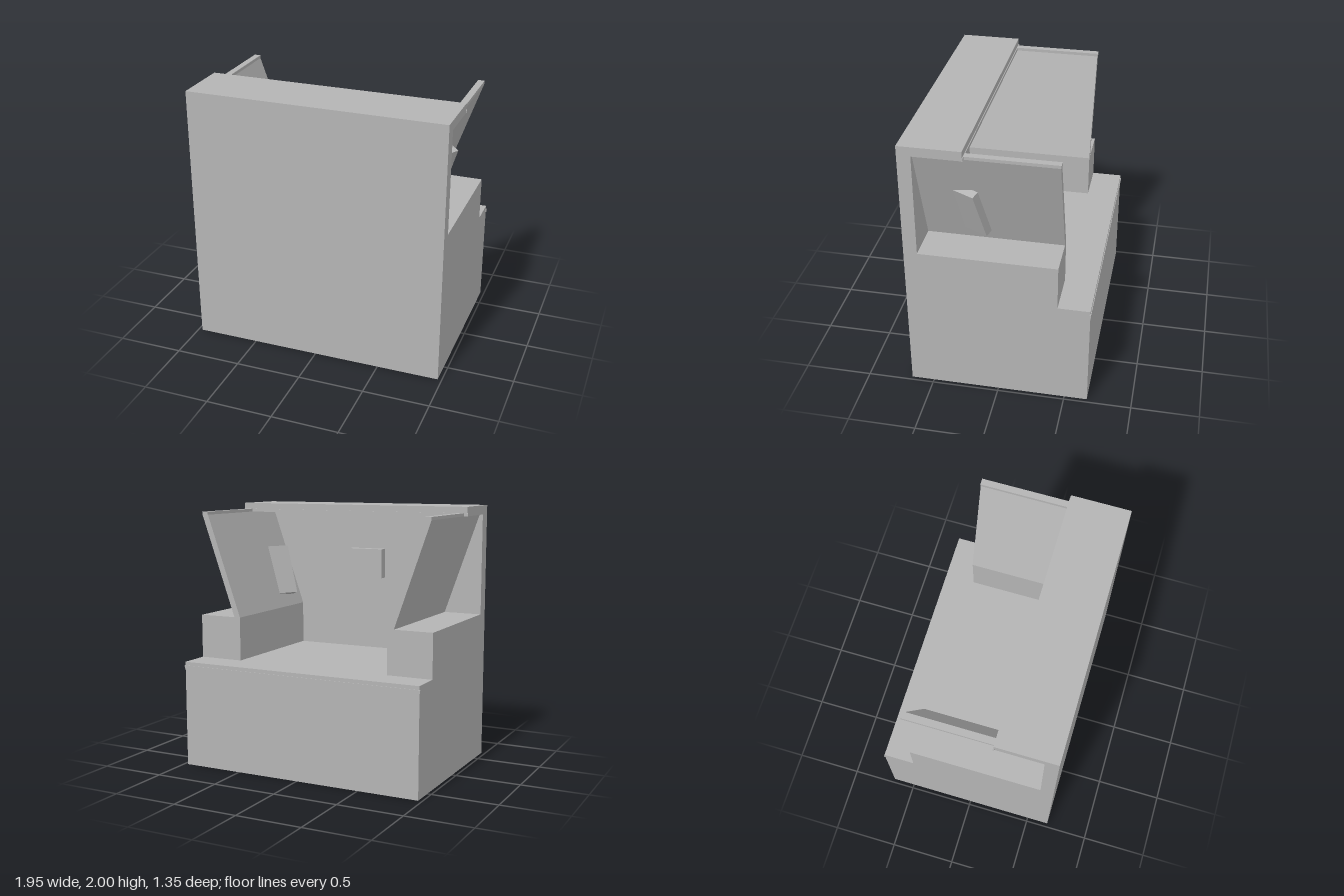
import * as THREE from 'three';

export function createModel() {
  const model = new THREE.Group();
  const grey = new THREE.MeshStandardMaterial({ color: 0xb4b4b4 });
  grey.name = 'plain grey';

  const add = (name, geometry) => {
    const mesh = new THREE.Mesh(geometry, grey);
    mesh.name = name;
    model.add(mesh);
    return mesh;
  };

  // Box given by its lower and upper limits on each axis
  const block = (name, [x0, x1], [y0, y1], [z0, z1]) => {
    const mesh = add(name, new THREE.BoxGeometry(x1 - x0, y1 - y0, z1 - z0));
    mesh.position.set((x0 + x1) / 2, (y0 + y1) / 2, (z0 + z1) / 2);
    return mesh;
  };

  // Main body: base, tall front wall and the canopy above it
  block('base', [-0.97, 0.97], [0, 0.815], [-0.67, 0.67]);
  block('frontWall', [-0.97, 0.97], [0.815, 1.93], [0.57, 0.67]);
  block('canopy', [-0.97, 0.97], [1.93, 2], [0.22, 0.67]);

  // Thin trim bars on the canopy and floor edges
  block('canopyTrim', [-0.975, 0.975], [1.93, 1.953], [0.215, 0.225]);
  block('floorTrim', [-0.975, 0.975], [0.763, 0.787], [-0.675, -0.665]);

  // Shoulders, outward-leaning wings and their rims on both sides
  for (const side of [1, -1]) {
    const name = side > 0 ? 'left' : 'right';
    const span = (a, b) => (side > 0 ? [a, b] : [-b, -a]);
    block(name + 'Shoulder', span(0.62, 0.97), [0.815, 1.15], [-0.435, 0.57]);

    const section = new THREE.Shape(
      [[0.62, 1.15], [0.67, 1.15], [0.945, 1.93], [0.895, 1.93]].map(
        ([x, y]) => new THREE.Vector2(side * x, y)
      )
    );
    const wing = add(name + 'Wing',
      new THREE.ExtrudeGeometry(section, { depth: 1.005, bevelEnabled: false }));
    wing.position.z = -0.435;

    block(name + 'WingRim', span(0.895, 0.945), [1.93, 1.953], [-0.438, 0.22]);
  }

  // Panel box on the inside of the front wall
  block('wallBox', [-0.145, 0.145], [1.4, 1.635], [0.5, 0.57]);

  // Tilted panel box set through the left wing
  const height = 0.405, width = 0.355, thickness = 0.06;
  const across = new THREE.Vector3(-0.458, 0, 0.889).normalize();
  const up = new THREE.Vector3(0.314, 0.941, 0.145);
  up.addScaledVector(across, -up.dot(across)).normalize();
  const outward = new THREE.Vector3().crossVectors(up, across);
  const wingBox = add('wingBox', new THREE.BoxGeometry(thickness, height, width));
  wingBox.quaternion.setFromRotationMatrix(
    new THREE.Matrix4().makeBasis(outward, up, across));
  wingBox.position.set(0.917, 1.621, 0.17)
    .addScaledVector(across, width / 2)
    .addScaledVector(up, -height / 2)
    .addScaledVector(outward, -thickness / 2);

  return model;
}
